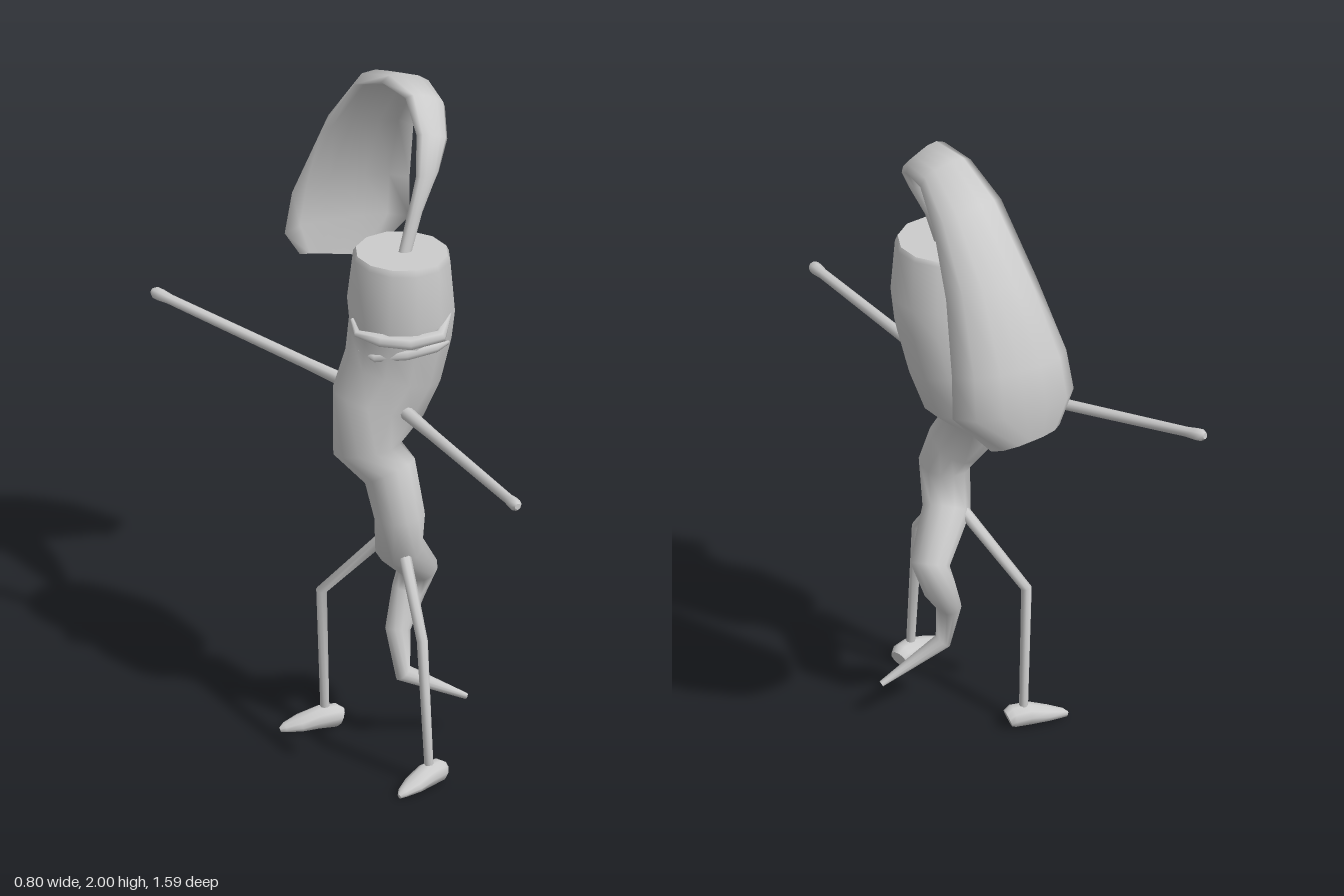
import * as THREE from 'three';

const material = new THREE.MeshStandardMaterial({ color: 0xcccccc });
const V = (x, y, z) => new THREE.Vector3(x, y, z);

// Direction of a path at point i
function tangent(points, i) {
  const a = points[Math.max(i - 1, 0)], b = points[Math.min(i + 1, points.length - 1)];
  return b.clone().sub(a).normalize();
}

// Skins equal-sized rings of points; end caps have their own vertices to stay crisp
function skin(rings, name) {
  const n = rings[0].length, last = rings.length - 1;
  const pts = rings.flat(), index = [];
  for (let i = 0; i < last; i++) {
    for (let j = 0; j < n; j++) {
      const a = i * n + j, b = i * n + (j + 1) % n;
      index.push(a, b, a + n, b, b + n, a + n);
    }
  }
  [rings[0], rings[last]].forEach((ring, end) => {
    const base = pts.length;
    const mid = ring.reduce((s, p) => s.add(p), V(0, 0, 0)).divideScalar(n);
    pts.push(...ring, mid);
    for (let j = 0; j < n; j++) {
      const a = base + j, b = base + (j + 1) % n;
      if (end) index.push(base + n, a, b);
      else index.push(base + n, b, a);
    }
  });
  const geo = new THREE.BufferGeometry().setFromPoints(pts);
  geo.setIndex(index);
  geo.computeVertexNormals();
  const mesh = new THREE.Mesh(geo, material);
  mesh.name = name;
  return mesh;
}

// Limb through rows of [x, y, z, radius, second radius]; ref steers the first radius
function limb(name, rows, sides, ref) {
  const centres = rows.map(r => V(r[0], r[1], r[2]));
  const rings = rows.map(([, , , ru, rv = ru], i) => {
    const t = tangent(centres, i);
    const u = ref.clone().addScaledVector(t, -ref.dot(t)).normalize();
    const v = t.clone().cross(u);
    return Array.from({ length: sides }, (_, j) => {
      const a = (j / sides) * Math.PI * 2;
      return centres[i].clone()
        .addScaledVector(u, ru * Math.cos(a)).addScaledVector(v, rv * Math.sin(a));
    });
  });
  return skin(rings, name);
}

// Cupped ribbon through rows of [left edge, right edge, outer bulge, inner bulge]
function ribbon(name, rows) {
  const L = rows.map(r => V(...r[0])), R = rows.map(r => V(...r[1]));
  const mids = L.map((p, i) => p.clone().lerp(R[i], 0.5));
  const rings = rows.map(([, , outer, inner], i) => {
    const out = R[i].clone().sub(L[i]).cross(tangent(mids, i)).normalize();
    const at = (s, h) => L[i].clone().lerp(R[i], (s + 1) / 2).addScaledVector(out, h * (1 - s ** 4));
    return [
      ...[-1, -0.75, -0.35, 0, 0.35, 0.75, 1].map(s => at(s, outer)),
      ...[0.7, 0.3, 0, -0.3, -0.7].map(s => at(s, inner)),
    ];
  });
  return skin(rings, name);
}

export function createModel() {
  const group = new THREE.Group();
  const X = V(1, 0, 0), Y = V(0, 1, 0), Z = V(0, 0, 1);

  // Flat-topped head running down into a zigzag, tapering tail
  group.add(limb('headBodyAndTail', [
    [-0.11, 1.57, 0.085, 0.132, 0.137],
    [-0.11, 1.555, 0.085, 0.14, 0.145],
    [-0.108, 1.4, 0.08, 0.157, 0.16],
    [-0.1, 1.32, 0.07, 0.152, 0.152],
    [-0.115, 1.2, 0.055, 0.14, 0.146],
    [-0.15, 1.09, 0.03, 0.15, 0.132],
    [-0.2, 0.96, 0.03, 0.1, 0.1],
    [-0.15, 0.88, 0.075, 0.08, 0.085],
    [-0.18, 0.77, 0.14, 0.075, 0.075],
    [-0.14, 0.65, 0.1, 0.07, 0.072],
    [-0.022, 0.53, 0.068, 0.055, 0.06],
    [-0.04, 0.45, 0.047, 0.048, 0.05],
    [-0.105, 0.355, 0.065, 0.036, 0.038],
    [-0.11, 0.225, 0.09, 0.028, 0.026],
    [0.055, 0.122, 0.185, 0.009],
  ], 12, X));

  // Long plume arching over and hanging down behind
  group.add(ribbon('plume', [
    [[-0.125, 1.55, 0.08], [-0.09, 1.55, 0.1], 0.015, -0.015],
    [[-0.09, 1.68, 0.09], [-0.04, 1.68, 0.1], 0.015, -0.015],
    [[-0.055, 1.79, 0.09], [0.015, 1.79, 0.115], 0.016, -0.015],
    [[-0.02, 1.9, 0.06], [0.068, 1.87, 0.1], 0.02, -0.012],
    [[0.01, 1.985, -0.01], [0.135, 1.925, 0.03], 0.025, -0.01],
    [[0.04, 1.985, -0.13], [0.185, 1.935, -0.06], 0.034, -0.005],
    [[0.075, 1.92, -0.27], [0.26, 1.86, -0.17], 0.055, 0.005],
    [[0.09, 1.72, -0.41], [0.33, 1.7, -0.27], 0.08, 0.025],
    [[0.07, 1.5, -0.505], [0.385, 1.49, -0.335], 0.09, 0.035],
    [[0.055, 1.37, -0.52], [0.395, 1.36, -0.345], 0.09, 0.035],
    [[0.12, 1.28, -0.52], [0.31, 1.24, -0.42], 0.045, 0.005],
  ]));

  // Lips wrapping around the face
  group.add(limb('upperLip', [
    [-0.045, 1.4, 0.215, 0.006],
    [-0.12, 1.355, 0.245, 0.02],
    [-0.2, 1.345, 0.2, 0.021],
    [-0.25, 1.35, 0.13, 0.02],
    [-0.285, 1.365, 0.07, 0.011],
    [-0.25, 1.38, 0.02, 0.006],
  ], 8, Y));
  group.add(limb('lowerLip', [
    [-0.045, 1.295, 0.205, 0.006],
    [-0.12, 1.312, 0.222, 0.017],
    [-0.19, 1.3, 0.18, 0.018],
    [-0.238, 1.28, 0.1, 0.014],
    [-0.24, 1.285, 0.04, 0.006],
  ], 8, Y));

  // Thin arms with small knob hands
  const arms = { rightArm: [[-0.15, 1.1, 0.1], [-0.395, 1.087, 0.795]],
    leftArm: [[-0.145, 1.1, 0], [-0.207, 1.19, -0.795]] };
  for (const [name, [from, to]] of Object.entries(arms)) {
    const rows = [[0, 0.022], [0.3, 0.017], [0.92, 0.015], [0.96, 0.018], [0.985, 0.018], [1, 0.01]];
    group.add(limb(name, rows.map(([k, r]) =>
      [...V(...from).lerp(V(...to), k).toArray(), r]), 8, Y));
  }

  // Bent thin legs
  group.add(limb('rightLeg', [
    [-0.155, 0.66, 0.13, 0.018], [-0.27, 0.455, 0.31, 0.016], [-0.263, 0.05, 0.33, 0.013],
  ], 8, X));
  group.add(limb('leftLeg', [
    [-0.15, 0.66, 0.05, 0.018], [-0.2, 0.445, -0.145, 0.016], [-0.18, 0.05, -0.15, 0.013],
  ], 8, X));

  // Wedge feet: [distance forward of the ankle, half width, half height]
  const footRows = [[-0.05, 0.027, 0.028], [-0.035, 0.036, 0.034], [0.01, 0.038, 0.034],
    [0.07, 0.034, 0.023], [0.115, 0.018, 0.014], [0.13, 0.006, 0.008]];
  const foot = (name, x, z, dx, dz) => {
    group.add(limb(name, footRows.map(([d, w, h]) =>
      [x + d * dx, h, z + d * dz, w, h]), 10, Z));
  };
  foot('rightFoot', -0.26, 0.33, -1, 0);
  foot('leftFoot', -0.185, -0.15, -0.85, -0.53);

  return group;
}
